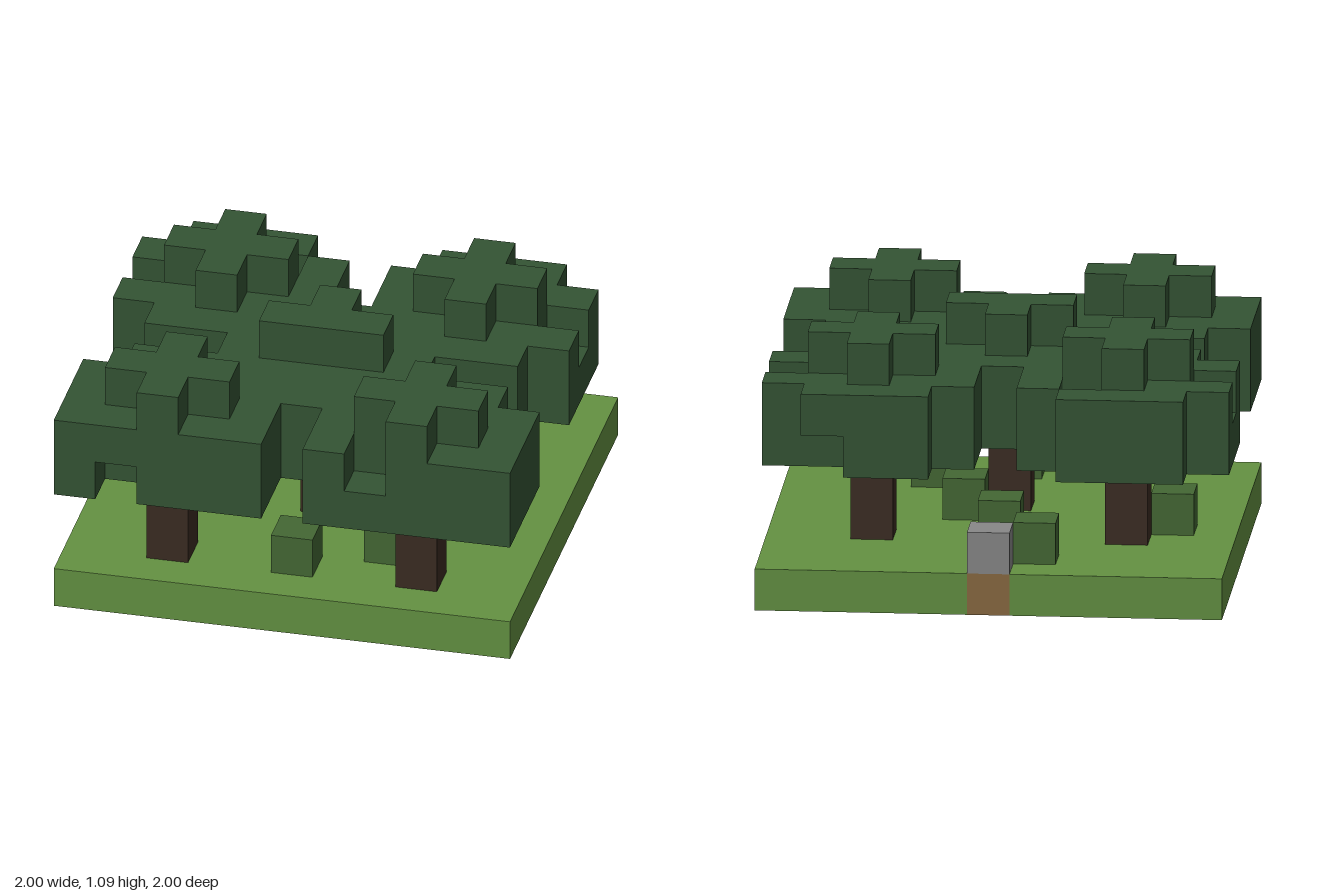
import * as THREE from 'three';
import { mergeGeometries } from 'three/addons/utils/BufferGeometryUtils.js';

const N = 11;          // cells along each side
const S = 2 / N;       // cell size

function material(name, color) {
  const m = new THREE.MeshStandardMaterial({ color });
  m.name = name;
  return m;
}

// Outward directions with the rotation that turns a +z plane to face them
const SIDES = [
  [1, 0, 0, 0, Math.PI / 2], [-1, 0, 0, 0, -Math.PI / 2],
  [0, 1, 0, -Math.PI / 2, 0], [0, -1, 0, Math.PI / 2, 0],
  [0, 0, 1, 0, 0], [0, 0, -1, 0, Math.PI],
];

export function createModel() {
  const grass = material('grass green', 0x649242);
  const dirt = material('dirt brown', 0x8a6a40);
  const bark = material('bark brown', 0x3b2c22);
  const leaf = material('leaf green', 0x345434);
  const shrub = material('shrub green', 0x446834);
  const stone = material('stone grey', 0x888888);

  const filled = new Set();
  const parts = [];
  const key = (x, y, z) => `${x},${y},${z}`;

  function addPart(name, mat, cells) {
    const own = cells.filter(c => !filled.has(key(...c)));
    own.forEach(c => filled.add(key(...c)));
    parts.push({ name, mat, cells: own });
  }

  // Ground slab with one bare dirt cell under the rock
  addPart('dirtPatch', dirt, [[5, 0, 0]]);
  const ground = [];
  for (let x = 0; x < N; x++) for (let z = 0; z < N; z++) ground.push([x, 0, z]);
  addPart('ground', grass, ground);
  addPart('rock', stone, [[5, 1, 0]]);

  // Bushes
  [[4, 1], [5, 3], [1, 4], [6, 5], [7, 8], [5, 9]]
    .forEach(([x, z]) => addPart('bush', shrub, [[x, 1, z]]));

  // Trees: trunk, two wide leaf layers, a cross on top, and a few missing leaves
  const gaps = new Set([
    key(3, 4, 2), key(0, 4, 3), key(10, 4, 3), key(7, 4, 10),
    key(1, 3, 10), key(9, 3, 1), key(9, 3, 7), key(5, 5, 7),
  ]);
  [[2, 3], [8, 3], [5, 6], [2, 9], [8, 9]].forEach(([tx, tz]) => {
    addPart('trunk', bark, [[tx, 1, tz], [tx, 2, tz]]);
    const crown = [];
    for (let dx = -2; dx <= 2; dx++) for (let dz = -2; dz <= 2; dz++) {
      const reach = Math.abs(dx) + Math.abs(dz);
      if (reach === 4 || tz + dz >= N) continue;
      for (let y = 3; y <= (reach <= 1 ? 5 : 4); y++) {
        const cell = [tx + dx, y, tz + dz];
        if (!gaps.has(key(...cell))) crown.push(cell);
      }
    }
    addPart('leaves', leaf, crown);
  });

  // Draw only the faces that are not covered by a neighbouring cell
  const model = new THREE.Group();
  model.name = 'forest';
  for (const { name, mat, cells } of parts) {
    const faces = [];
    for (const [x, y, z] of cells) {
      for (const [nx, ny, nz, rx, ry] of SIDES) {
        if (filled.has(key(x + nx, y + ny, z + nz))) continue;
        faces.push(new THREE.PlaneGeometry(S, S).rotateX(rx).rotateY(ry).translate(
          (x + 0.5 + nx / 2) * S - 1,
          (y + 0.5 + ny / 2) * S,
          (z + 0.5 + nz / 2) * S - 1));
      }
    }
    const mesh = new THREE.Mesh(mergeGeometries(faces), mat);
    mesh.name = name;
    model.add(mesh);
  }
  return model;
}
